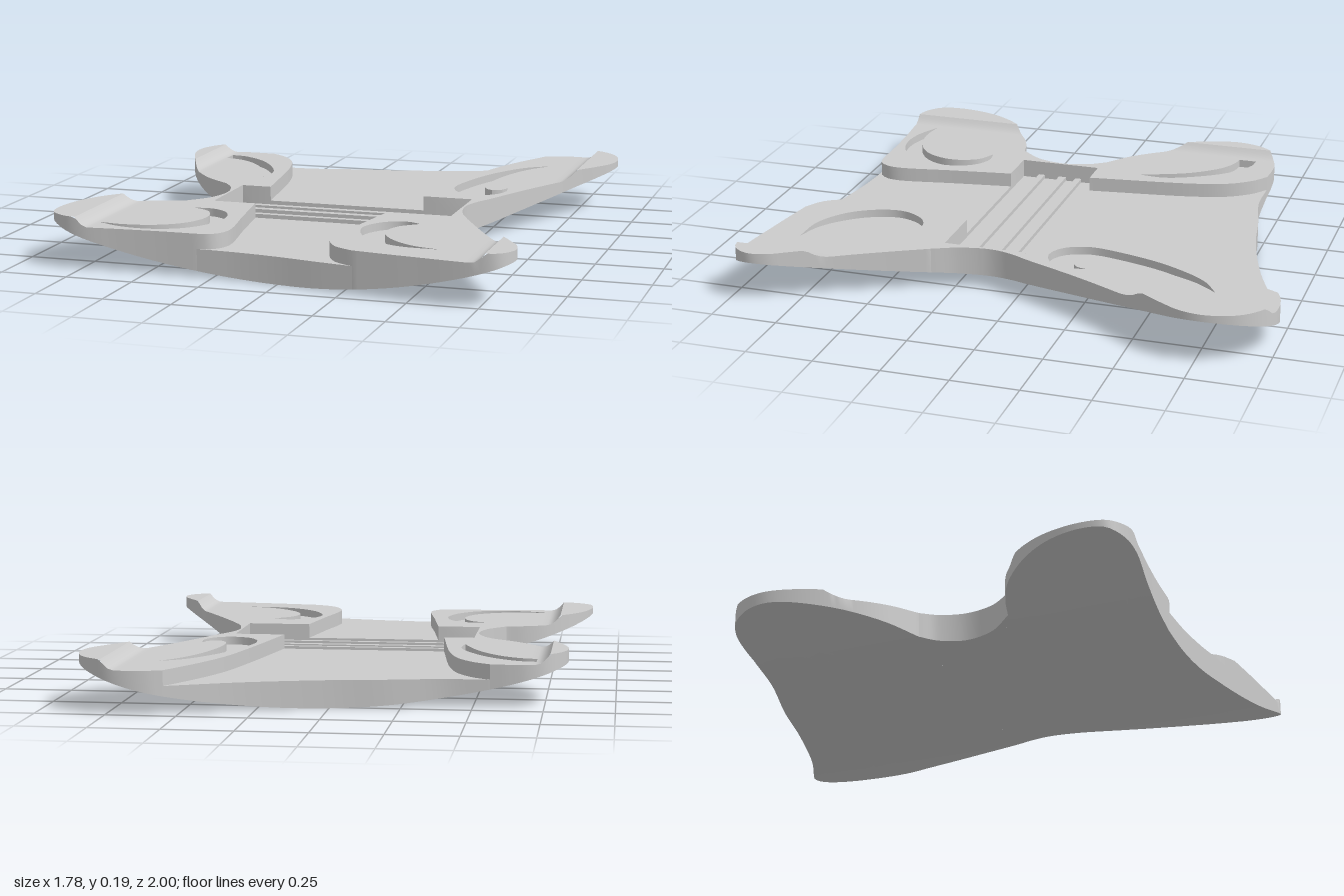
import * as THREE from 'three';
import { toCreasedNormals } from 'three/addons/utils/BufferGeometryUtils.js';

const FLOOR = 0.1, PAD = 0.155, TIP = 0.19, RECESS = 0.125;

// Height rules: bowed underside, and pads that sweep up to the tips
const underside = x => 0.208 * x * x;
const padTop = x => {
  const t = THREE.MathUtils.clamp((Math.abs(x) - 0.72) / 0.05, 0, 1);
  return PAD + (TIP - PAD) * t * t;
};
const level = h => () => h;

// Where caps are sliced along x so they can bend
const cuts = [];
for (let i = -18; i <= 18; i++) cuts.push(i * 0.05);
for (const s of [-1, 1]) for (const x of [0.72, 0.73, 0.74, 0.76, 0.77]) cuts.push(s * x);
cuts.sort((a, b) => a - b);

// Smooth plan curve through [x, z] points
function curve(pts, n = 40) {
  const c = new THREE.CatmullRomCurve3(pts.map(([x, z]) => new THREE.Vector3(x, 0, z)));
  return c.getSpacedPoints(n).map(p => new THREE.Vector2(p.x, p.z));
}
const corners = pts => pts.map(([x, z]) => new THREE.Vector2(x, z));

// Joins plan pieces into one loop without repeated points
function loop(...parts) {
  const out = [];
  for (const p of parts.flat()) if (!out.length || out.at(-1).distanceTo(p) > 1e-4) out.push(p);
  if (out[0].distanceTo(out.at(-1)) < 1e-4) out.pop();
  return out;
}

// Keeps the part of a convex polygon on one side of x = c
function clip(poly, c, sign) {
  const out = [];
  poly.forEach((a, i) => {
    const b = poly[(i + 1) % poly.length];
    const da = sign * (a.x - c), db = sign * (b.x - c);
    if (da >= 0) out.push(a);
    if (da * db < 0) out.push(a.clone().lerp(b, da / (da - db)));
  });
  return out;
}

// Solid over a plan loop between two height rules
function prism(name, outline, top, holes = []) {
  const orient = (pts, cw) => THREE.ShapeUtils.isClockWise(pts) === cw ? pts : pts.slice().reverse();
  const rim = orient(outline, false), inner = holes.map(h => orient(h, true));
  const all = [rim, ...inner].flat();
  const pos = [];
  const put = (p, h) => pos.push(p.x, h(p.x), p.y);
  // caps
  for (const face of THREE.ShapeUtils.triangulateShape(rim, inner)) {
    let tri = face.map(i => all[i]);
    if (THREE.ShapeUtils.isClockWise(tri)) tri.reverse();
    for (let k = 0; k < cuts.length - 1; k++) {
      const piece = clip(clip(tri, cuts[k], 1), cuts[k + 1], -1);
      for (let j = 1; j < piece.length - 1; j++) {
        const [a, b, c] = [piece[0], piece[j], piece[j + 1]];
        if (Math.abs(b.clone().sub(a).cross(c.clone().sub(a))) < 1e-9) continue;
        put(a, underside); put(b, underside); put(c, underside);
        put(a, top); put(c, top); put(b, top);
      }
    }
  }
  // walls
  for (const ring of [rim, ...inner]) ring.forEach((a, i) => {
    const b = ring[(i + 1) % ring.length];
    put(a, underside); put(a, top); put(b, top);
    put(a, underside); put(b, top); put(b, underside);
  });
  const g = new THREE.BufferGeometry();
  g.setAttribute('position', new THREE.Float32BufferAttribute(pos, 3));
  const mesh = new THREE.Mesh(toCreasedNormals(g, 0.5), new THREE.MeshStandardMaterial({ color: 0xcccccc }));
  mesh.name = name;
  return mesh;
}

// Each pad: inner edge, outer edge, and the two sides of its crescent recess
const backLeft = {
  name: 'backLeftPad',
  inner: [[0.28, -0.015], [0.35, -0.41], [0.4, -0.63], [0.47, -0.81], [0.55, -0.97]],
  outer: [[0.55, -0.97], [0.6, -0.99], [0.67, -1], [0.74, -0.99], [0.81, -0.95], [0.86, -0.89], [0.888, -0.79],
    [0.875, -0.7], [0.83, -0.62], [0.77, -0.53], [0.64, -0.28], [0.53, -0.03]],
  end: [[0.47, -0.015]],
  arcs: [[[0.615, -0.76], [0.53, -0.7], [0.43, -0.54], [0.37, -0.36], [0.35, -0.22], [0.39, -0.13], [0.46, -0.1],
    [0.53, -0.13], [0.56, -0.2], [0.55, -0.27]],
  [[0.55, -0.27], [0.54, -0.23], [0.5, -0.21], [0.465, -0.25], [0.46, -0.36], [0.49, -0.52], [0.55, -0.67], [0.615, -0.76]]],
};
const backRight = {
  name: 'backRightPad',
  inner: [[-0.34, -0.015], [-0.4, -0.43], [-0.44, -0.56], [-0.5, -0.645], [-0.56, -0.69]],
  outer: [[-0.56, -0.69], [-0.63, -0.694], [-0.7, -0.69], [-0.76, -0.665], [-0.81, -0.6], [-0.83, -0.52], [-0.82, -0.44],
    [-0.78, -0.33], [-0.72, -0.22], [-0.63, -0.11], [-0.53, -0.03]],
  end: [[-0.47, -0.015]],
  arcs: [[[-0.72, -0.61], [-0.66, -0.6], [-0.56, -0.53], [-0.48, -0.42], [-0.43, -0.3], [-0.435, -0.19]],
    [[-0.435, -0.19], [-0.45, -0.24], [-0.51, -0.38], [-0.6, -0.49], [-0.67, -0.53], [-0.72, -0.54]]],
};
const frontRight = {
  name: 'frontRightPad',
  inner: [[-0.29, 0.3], [-0.255, 0.53], [-0.22, 0.76], [-0.23, 0.81], [-0.26, 0.845], [-0.31, 0.855]],
  outer: [[-0.31, 0.855], [-0.45, 0.857], [-0.6, 0.865], [-0.75, 0.875], [-0.82, 0.86], [-0.88, 0.81], [-0.895, 0.72],
    [-0.87, 0.59], [-0.81, 0.48], [-0.72, 0.39], [-0.64, 0.35], [-0.56, 0.33]],
  end: [[-0.5, 0.3]],
  arcs: [[[-0.48, 0.44], [-0.41, 0.435], [-0.34, 0.48], [-0.305, 0.58], [-0.33, 0.7], [-0.4, 0.79], [-0.51, 0.83],
    [-0.62, 0.82], [-0.72, 0.775]],
  [[-0.72, 0.775], [-0.62, 0.785], [-0.5, 0.76], [-0.41, 0.69], [-0.375, 0.58], [-0.41, 0.48], [-0.48, 0.44]]],
};
const frontLeft = {
  name: 'frontLeftPad',
  inner: [[0.23, 0.3], [0.195, 0.53], [0.16, 0.76], [0.18, 0.84], [0.22, 0.9], [0.29, 0.94]],
  outer: [[0.29, 0.94], [0.5, 0.97], [0.77, 0.997], [0.82, 0.98], [0.855, 0.92], [0.845, 0.85], [0.81, 0.79],
    [0.7, 0.62], [0.62, 0.48], [0.54, 0.33]],
  end: [[0.5, 0.3]],
  arcs: [[[0.4, 0.465], [0.34, 0.44], [0.27, 0.47], [0.22, 0.56], [0.235, 0.66], [0.3, 0.76], [0.42, 0.83], [0.57, 0.84]],
    [[0.57, 0.84], [0.46, 0.805], [0.36, 0.72], [0.315, 0.62], [0.335, 0.53], [0.4, 0.465]]],
};

export function createModel() {
  const model = new THREE.Group();
  model.name = 'contouredPlate';

  // Corner pads with recessed crescents
  for (const p of [backLeft, backRight, frontRight, frontLeft]) {
    const crescent = loop(curve(p.arcs[0], 32), curve(p.arcs[1], 32));
    const outline = loop(curve(p.inner, 24), curve(p.outer, 60), corners(p.end));
    model.add(prism(p.name, outline, padTop, [crescent]));
    model.add(prism(p.name + 'Recess', crescent, level(RECESS)));
  }

  // Sunken floors between the pads
  const backEdge = [[-0.56, -0.69], [-0.4, -0.693], [-0.2, -0.735], [0, -0.77], [0.29, -0.855], [0.55, -0.97]];
  const frontEdge = [[-0.31, 0.855], [-0.15, 0.865], [0, 0.885], [0.15, 0.915], [0.29, 0.94]];
  model.add(prism('backFloor',
    loop(curve(backRight.inner, 24), curve(backEdge), curve(backLeft.inner, 24).reverse()), level(FLOOR)));
  model.add(prism('frontFloor',
    loop(curve(frontRight.inner, 24), curve(frontEdge), curve(frontLeft.inner, 24).reverse()), level(FLOOR)));

  // Ribbed waist: low channels alternating with narrow ribs
  const xr = -0.456, xl = 0.471;
  const steps = [-0.015, 0.055, 0.08, 0.12, 0.15, 0.21, 0.235, 0.3];
  for (let i = 0; i < steps.length - 1; i++) {
    const [a, b] = [steps[i], steps[i + 1]];
    const bar = corners([[xr, a], [xl, a], [xl, b], [xr, b]]);
    model.add(prism(i % 2 ? 'waistRib' : 'waistChannel', bar, level(i % 2 ? FLOOR : 0.085)));
  }

  // Thin rims closing the waist at both ends
  const rightArc = [[-0.53, -0.03], [-0.49, 0.03], [-0.465, 0.13], [-0.49, 0.24], [-0.56, 0.33]];
  const leftArc = [[0.53, -0.03], [0.505, 0.02], [0.485, 0.08], [0.48, 0.14], [0.5, 0.24], [0.54, 0.33]];
  model.add(prism('rightWaistRim', loop(curve(rightArc), corners([[-0.5, 0.3], [xr, 0.3], [xr, -0.015]])), level(PAD)));
  model.add(prism('leftWaistRim', loop(curve(leftArc), corners([[0.5, 0.3], [xl, 0.3], [xl, -0.015]])), level(PAD)));

  return model;
}
